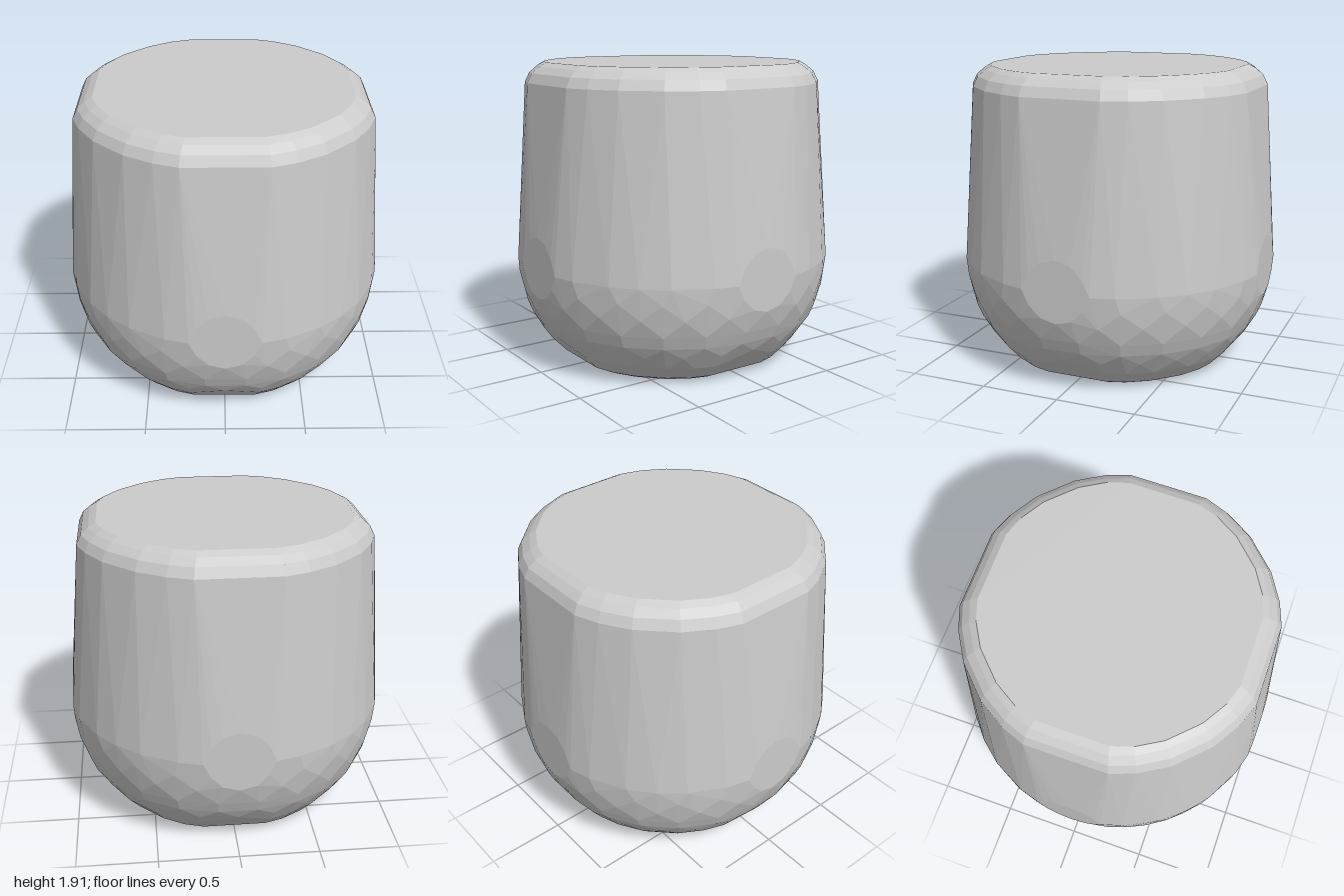
import * as THREE from 'three';
import { ConvexGeometry } from 'three/addons/geometries/ConvexGeometry.js';

// Column angles (degrees) within one quarter turn, symmetric about 45
const WALL = [12.4, 20.7, 34.6, 45, 55.4, 69.3, 77.6];
const RIM = [15.5, 25, 37, 53, 65, 74.5];
const EVEN = [0, 15, 30, 45, 60, 75];
const ODD = [7.5, 22.5, 37.5, 52.5, 67.5, 82.5];

// Rings from base to top: height, radius, limit of the flat sides, angles
const RINGS = [
  [0, 0.68, 0.65, RIM],
  [0.03, 0.743, 0.71, RIM],
  [0.12, 0.826, 0.795, RIM],
  [0.205, 0.885, 0.877, EVEN],
  [0.28, 0.935, 0.92, ODD],
  [0.36, 0.968, 0.955, ODD],
  [0.47, 1.0, 0.995, EVEN],
  [0.57, 1.017, 1, ODD],
  [0.67, 1.025, 1, WALL],
  [0.8, 1.014, 1, WALL],
  [1.79, 0.945, 0.915, RIM],
  [1.85, 0.915, 0.89, RIM],
  [1.89, 0.868, 0.843, RIM],
  [1.915, 0.825, 0.79, RIM],
];

export function createModel() {
  const points = [];
  const up = new THREE.Vector3(0, 1, 0);
  const clamp = THREE.MathUtils.clamp;

  for (let quarter = 0; quarter < 4; quarter++) {
    const turn = quarter * Math.PI / 2;

    // Faceted rings of the tapering body
    for (const [y, r, flat, angles] of RINGS) {
      for (const deg of angles) {
        const a = THREE.MathUtils.degToRad(deg) + turn;
        points.push(new THREE.Vector3(
          clamp(r * Math.sin(a), -flat, flat), y, clamp(r * Math.cos(a), -flat, flat)));
      }
    }

    // Round flat patch on each of the four sides
    for (let i = 0; i < 12; i++) {
      const a = i * Math.PI / 6;
      points.push(new THREE.Vector3(0.2 * Math.sin(a), 0.675 + 0.195 * Math.cos(a), 1)
        .applyAxisAngle(up, turn));
    }
  }

  // The body is the flat-shaded hull of all the rings and patches
  const body = new THREE.Mesh(
    new ConvexGeometry(points),
    new THREE.MeshStandardMaterial({ color: 0xcccccc, flatShading: true }));
  body.name = 'body';

  const group = new THREE.Group();
  group.name = 'facetedPot';
  group.add(body);
  return group;
}
